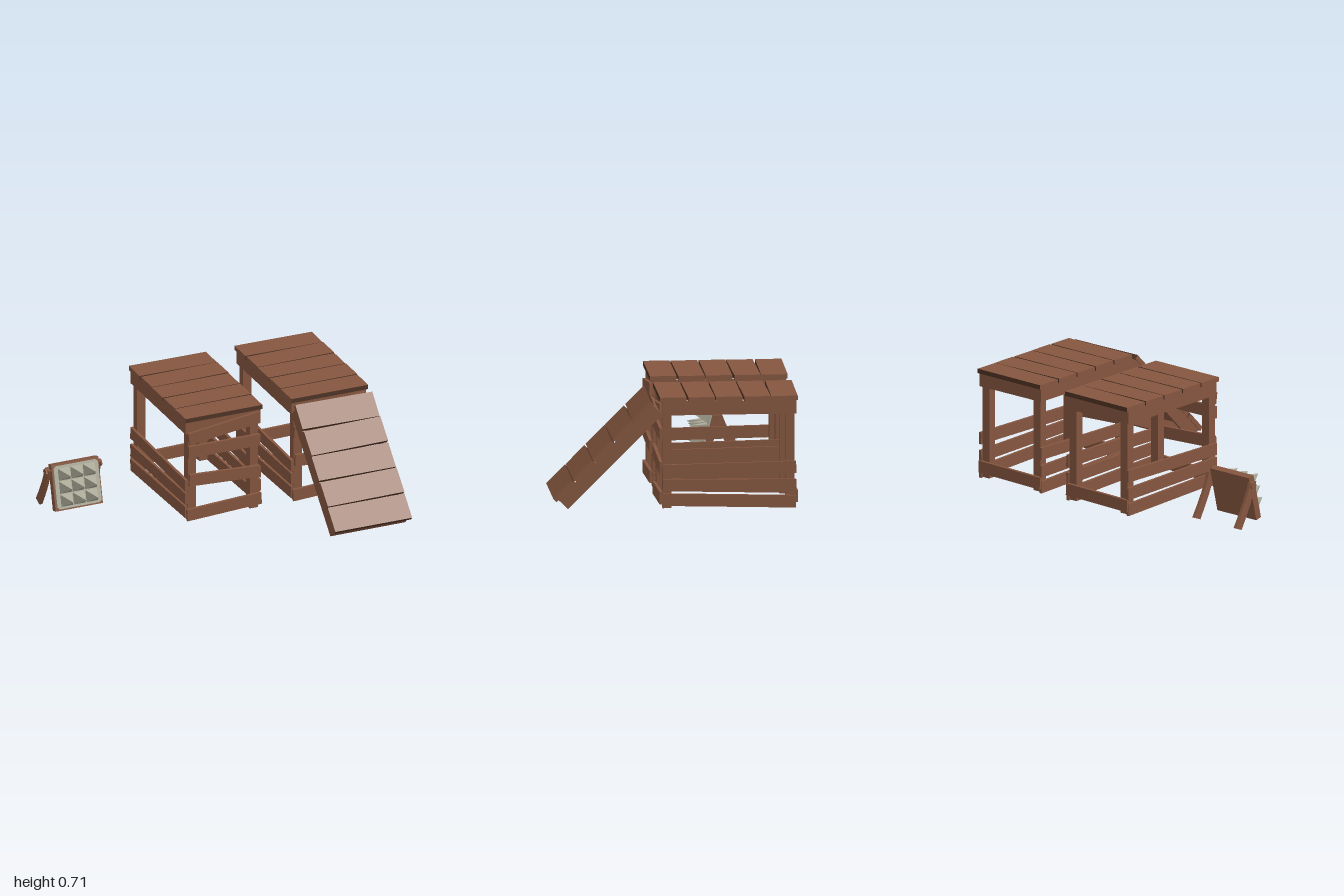
import * as THREE from 'three';

const wood = new THREE.MeshStandardMaterial({ name: 'brown wood', color: 0x85563f });
const darkWood = new THREE.MeshStandardMaterial({ name: 'dark wood edge', color: 0x4f3325 });
const metal = new THREE.MeshStandardMaterial({ name: 'pale metal', color: 0xb0ae9c });
for (const m of [wood, darkWood, metal]) m.flatShading = true;

function box(parent, name, size, pos, mat = wood) {
  const mesh = new THREE.Mesh(new THREE.BoxGeometry(...size), mat);
  mesh.position.set(...pos);
  mesh.name = name;
  parent.add(mesh);
  return mesh;
}

const TOP_Z = -0.335; // middle of the table along z

// Planked deck on a frame of four rails; origin at the middle of its top surface
function createDeck(name) {
  const deck = new THREE.Group();
  deck.name = name;
  const edges = [wood, wood, wood, wood, darkWood, darkWood];
  const turns = [0.003, -0.006, 0.004, -0.01, 0.014];
  turns.forEach((turn, i) => {
    const plank = box(deck, 'deckPlank', [0.527, 0.029, 0.167], [(i % 2) * 0.003, -0.0145, 0.353 - i * 0.1755], edges);
    plank.rotation.y = -turn;
  });
  for (const s of [-1, 1]) {
    box(deck, 'sideRail', [0.018, 0.086, 0.84], [s * 0.248, -0.072, 0]);
    box(deck, 'endRail', [0.478, 0.086, 0.018], [0, -0.072, s * 0.411]);
  }
  return deck;
}

function createTable(x) {
  const table = new THREE.Group();
  table.name = 'table';
  table.position.x = x;
  const deck = createDeck('tableDeck');
  deck.position.set(0, 0.72, TOP_Z);
  table.add(deck);

  for (const sx of [-1, 1]) {
    for (const z of [0.057, -0.717]) box(table, 'post', [0.058, 0.675, 0.056], [sx * 0.213, 0.3485, z]);
    // side slats: height at the front end, height at the back end
    for (const [front, back] of [[0.25, 0.264], [0.16, 0.147], [0.068, 0.044]]) {
      const slat = box(table, 'sideSlat', [0.018, 0.078, 0.84], [sx * 0.251, (front + back) / 2, TOP_Z]);
      slat.rotation.x = Math.atan2(back - front, 0.84);
    }
  }
  // front slats: height at -x, height at +x, length
  for (const [l, r, len] of [[0.575, 0.638, 0.49], [0.485, 0.483, 0.49], [0.29, 0.267, 0.48], [0.052, 0.078, 0.51]]) {
    const slat = box(table, 'frontSlat', [len, 0.078, 0.02], [0.002, (l + r) / 2, 0.095]);
    slat.rotation.z = Math.atan2(r - l, len);
  }
  const back = box(table, 'backRail', [0.51, 0.078, 0.02], [0, 0.075, -0.755]);
  back.rotation.z = 0.02;
  return table;
}

// Leaning board covered in spikes, propped on two curved legs
function createSpikeBoard() {
  const stand = new THREE.Group();
  stand.name = 'spikeStand';
  stand.position.x = -0.807;

  const board = new THREE.Group();
  board.name = 'spikeBoard';
  board.position.set(0, 0.187, -0.345);
  board.rotation.x = -0.24;
  stand.add(board);
  box(board, 'backBoard', [0.325, 0.3, 0.045], [0, 0, -0.0225]);

  // metal plate with clipped corners
  const w = 0.152, h = 0.138, c = 0.015;
  const plate = new THREE.Shape([
    [-w + c, -h], [w - c, -h], [w, -h + c], [w, h - c], [w - c, h], [-w + c, h], [-w, h - c], [-w, -h + c],
  ].map(([x, y]) => new THREE.Vector2(x, y)));
  const plateMesh = new THREE.Mesh(new THREE.ExtrudeGeometry(plate, { depth: 0.012, bevelEnabled: false }), metal);
  plateMesh.name = 'metalPlate';
  board.add(plateMesh);

  // three rows of square spikes
  const spike = new THREE.ConeGeometry(0.056, 0.11, 4, 1).rotateY(Math.PI / 4).rotateX(Math.PI / 2);
  for (let i = -1; i <= 1; i++) {
    for (let j = -1; j <= 1; j++) {
      const mesh = new THREE.Mesh(spike, metal);
      mesh.position.set(i * 0.086, j * 0.084, 0.065);
      mesh.name = 'spike';
      board.add(mesh);
    }
  }

  // curved legs, drawn in side profile (u = -z)
  const leg = new THREE.Shape();
  leg.moveTo(0.375, 0.295);
  leg.quadraticCurveTo(0.415, 0.17, 0.515, 0.008);
  leg.lineTo(0.57, 0.03);
  leg.quadraticCurveTo(0.47, 0.18, 0.43, 0.3);
  leg.closePath();
  const legGeo = new THREE.ExtrudeGeometry(leg, { depth: 0.02, bevelEnabled: false, curveSegments: 4 });
  legGeo.rotateY(Math.PI / 2).translate(-0.01, 0, 0);
  const boltGeo = new THREE.CylinderGeometry(0.024, 0.024, 0.014, 8).rotateZ(Math.PI / 2);
  for (const s of [-1, 1]) {
    const mesh = new THREE.Mesh(legGeo, wood);
    mesh.position.x = s * 0.172;
    mesh.name = 'supportLeg';
    const bolt = new THREE.Mesh(boltGeo, wood);
    bolt.position.set(s * 0.186, 0.275, -0.41);
    bolt.name = 'legPivot';
    stand.add(mesh, bolt);
  }
  return stand;
}

export function createModel() {
  const model = new THREE.Group();
  model.name = 'obstacleSet';
  model.add(createTable(0.003), createTable(0.73), createSpikeBoard());

  // ramp: the same deck leaning against the second table
  const ramp = createDeck('ramp');
  ramp.position.set(0.73, 0.395, 0.465);
  ramp.rotation.x = Math.PI / 4;
  model.add(ramp);
  return model;
}
